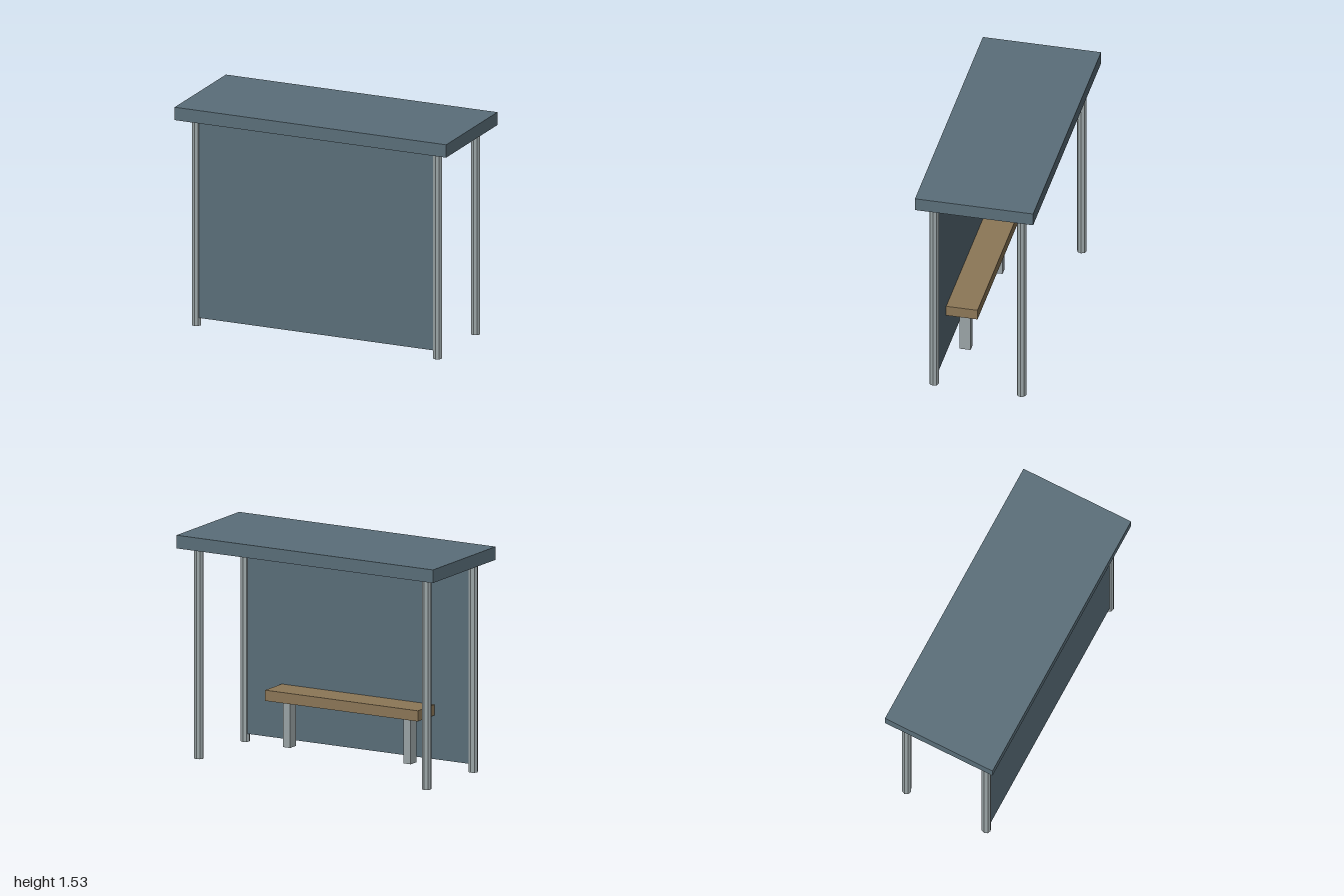
import * as THREE from 'three';

export function createModel() {
  const model = new THREE.Group();
  const material = (name, color, flatShading = false) => {
    const m = new THREE.MeshStandardMaterial({ color, flatShading });
    m.name = name;
    return m;
  };
  const slate = material('slateBlue', 0x5a6e79);
  const metal = material('greyMetal', 0x9aa4a6, true);
  const wood = material('brownWood', 0x8c7757);

  const add = (name, geometry, mat, x, y, z) => {
    const mesh = new THREE.Mesh(geometry, mat);
    mesh.name = name;
    mesh.position.set(x, y, z);
    model.add(mesh);
  };
  // Box given by its vertical range
  const box = (name, mat, w, y0, y1, d, x, z) =>
    add(name, new THREE.BoxGeometry(w, y1 - y0, d), mat, x, (y0 + y1) / 2, z);

  // Roof slab and wall panel
  box('roof', slate, 2, 1.445, 1.535, 0.81, 0, 0);
  box('wallPanel', slate, 1.735, 0.055, 1.445, 0.03, 0, 0.3);

  // Bench seat against the wall
  box('benchSeat', wood, 1.19, 0.355, 0.428, 0.215, 0, 0.178);

  // Four octagonal posts and two bench legs, mirrored
  const post = new THREE.CylinderGeometry(0.0325, 0.0325, 1.445, 8);
  for (const side of [-1, 1]) {
    for (const end of [-1, 1]) add('post', post, metal, side * 0.888, 0.7225, end * 0.3);
    box('benchLeg', metal, 0.055, 0.036, 0.355, 0.075, side * 0.47, 0.178);
  }
  return model;
}
